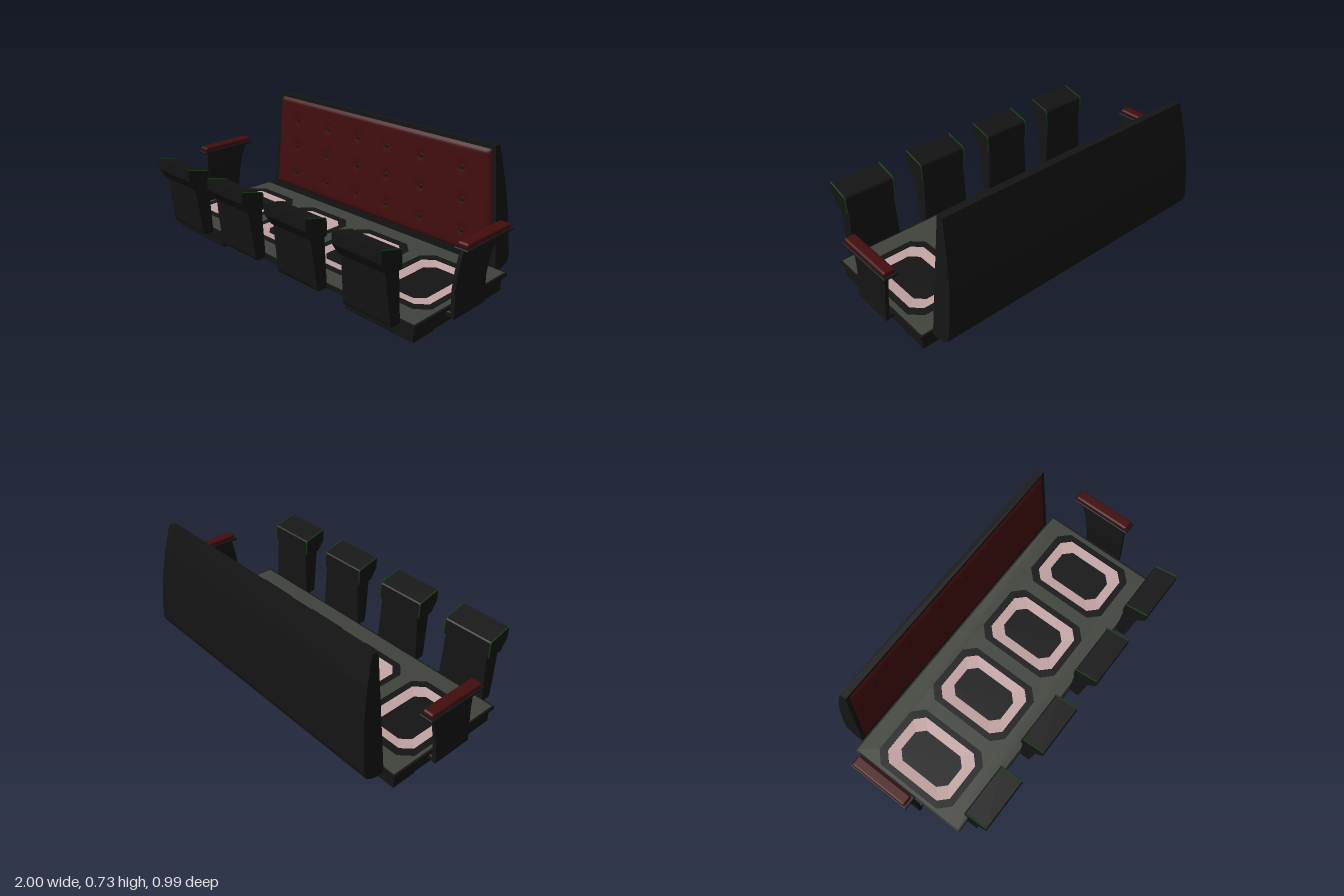
import * as THREE from 'three';
import { RoundedBoxGeometry } from 'three/addons/geometries/RoundedBoxGeometry.js';

const mat = (color, extra = {}) => new THREE.MeshStandardMaterial({ color, ...extra });

// Closed flat-shaded solid through equal-sized convex rings of [x, y, z] points
function loft(rings, caps = true) {
  const tris = [], n = rings[0].length;
  for (let r = 0; r < rings.length - 1; r++) {
    for (let i = 0; i < n; i++) {
      const j = (i + 1) % n, a = rings[r][i], b = rings[r][j], c = rings[r + 1][j], d = rings[r + 1][i];
      tris.push([a, b, c], [a, c, d]);
    }
  }
  const last = rings[rings.length - 1];
  if (caps) {
    for (let i = 1; i < n - 1; i++) {
      tris.push([rings[0][0], rings[0][i + 1], rings[0][i]], [last[0], last[i], last[i + 1]]);
    }
  }
  // Signed volume tells whether the faces point inward
  let volume = 0;
  const v = tris.map(t => t.map(p => new THREE.Vector3(...p)));
  for (const [a, b, c] of v) volume += a.dot(b.clone().cross(c));
  if (caps && volume < 0) v.forEach(t => t.reverse());
  const geo = new THREE.BufferGeometry().setFromPoints(v.flat());
  geo.computeVertexNormals();
  return geo;
}

// Side profile [z, y] spread across x, with a half width that depends on y
const prism = (profile, half) =>
  loft([-1, 1].map(s => profile.map(([z, y]) => [s * half(y), y, z])));

// Chamfered rectangle, centred on the seat
const octagon = (w, zMin, zMax, c) => [
  [-w + c, zMin], [w - c, zMin], [w, zMin + c], [w, zMax - c],
  [w - c, zMax], [-w + c, zMax], [-w, zMax - c], [-w, zMin + c]];

export function createModel() {
  const group = new THREE.Group();
  const black = mat(0x141414), red = mat(0x430d0e), carpetGrey = mat(0x40433c);
  const pink = mat(0xc2a3a3, { side: THREE.DoubleSide }), green = mat(0x154015);
  const blackOpen = mat(0x141414, { side: THREE.DoubleSide });
  const add = (name, geo, material, parent = group) => {
    const m = new THREE.Mesh(geo, material);
    m.name = name;
    parent.add(m);
    return m;
  };
  const box = (name, x0, x1, y0, y1, z0, z1) => {
    const m = add(name, new THREE.BoxGeometry(x1 - x0, y1 - y0, z1 - z0), black);
    m.position.set((x0 + x1) / 2, (y0 + y1) / 2, (z0 + z1) / 2);
  };
  const seatX = [0, 1, 2, 3].map(i => -0.005 + (i - 1.5) * 0.461);
  const outer = octagon(0.193, -0.268, 0.243, 0.06);
  const rim = octagon(0.16, -0.228, 0.207, 0.05);
  const well = octagon(0.104, -0.175, 0.153, 0.045);

  // Deck layers with an opening for every seat
  const layer = (name, x, z0, z1, y0, y1, material) => {
    const s = new THREE.Shape([[-x, -z1], [x, -z1], [x, -z0], [-x, -z0]].map(p => new THREE.Vector2(...p)));
    for (const cx of seatX) {
      s.holes.push(new THREE.Path(outer.map(([px, pz]) => new THREE.Vector2(cx + px, -pz))));
    }
    const geo = new THREE.ExtrudeGeometry(s, { depth: y1 - y0, bevelEnabled: false });
    geo.rotateX(-Math.PI / 2).translate(0, y0, 0);
    add(name, geo, material);
  };
  layer('deck', 0.917, -0.374, 0.354, 0.08, 0.098, black);
  layer('carpet', 0.907, -0.364, 0.344, 0.098, 0.1, carpetGrey);
  box('underside', -0.912, 0.912, 0.074, 0.081, -0.37, 0.35);
  box('frontTab', -0.1, 0.1, 0.068, 0.085, 0.3, 0.358);

  // C-shaped feet at both ends
  for (const s of [-1, 1]) {
    const span = (a, b) => (s > 0 ? [a, b] : [-b, -a]);
    box('frontFoot', ...span(0.48, 0.9), 0, 0.076, 0.19, 0.338);
    box('backFoot', ...span(0.48, 0.9), 0, 0.076, -0.355, -0.21);
    box('endRail', ...span(0.8, 0.9), 0.008, 0.076, -0.21, 0.19);
  }

  // Recessed seats: black surround, pale cushion ring, dark centre
  const at = (ring, y) => ring.map(([x, z]) => [x, y, z]);
  for (const cx of seatX) {
    const seat = new THREE.Group();
    seat.name = 'seat';
    seat.position.x = cx;
    group.add(seat);
    add('seatSurround', loft([at(outer, 0.09), at(outer, 0.102), at(rim, 0.102), at(rim, 0.098)], false), blackOpen, seat);
    add('seatCushion', loft([at(rim, 0.099), at(well, 0.093)], false), pink, seat);
    add('seatCentre', loft([at(well, 0.081), at(well, 0.09)]), black, seat);
  }

  // Upright in front of each seat, with a sloping overhanging head
  const postProfile = [[0.354, 0.08], [0.41, 0.08], [0.418, 0.1], [0.45, 0.36], [0.45, 0.42], [0.36, 0.42]];
  const headProfile = [[0.357, 0.355], [0.45, 0.355], [0.493, 0.418], [0.493, 0.481], [0.366, 0.447], [0.36, 0.44]];
  const trimPath = [[0.491, 0.481], [0.366, 0.449], [0.359, 0.44], [0.357, 0.357]];
  for (const cx of seatX) {
    const upright = new THREE.Group();
    upright.name = 'frontUpright';
    upright.position.x = cx + 0.003;
    group.add(upright);
    add('post', prism(postProfile, y => 0.145 - 0.05 * (y - 0.08)), black, upright);
    add('head', prism(headProfile, () => 0.146), black, upright);
    for (const s of [-1, 1]) {
      const path = new THREE.CurvePath();
      const pts = trimPath.map(([z, y]) => new THREE.Vector3(s * 0.143, y, z));
      for (let i = 0; i < 3; i++) path.add(new THREE.LineCurve3(pts[i], pts[i + 1]));
      add('headTrim', new THREE.TubeGeometry(path, 24, 0.004, 5), green, upright);
    }
  }

  // Backrest shell, narrowing upward
  const half = y => 0.852 - (y - 0.08) * 0.103;
  add('backrest', prism([[-0.374, 0.08], [-0.42, 0.08], [-0.46, 0.092], [-0.485, 0.11], [-0.493, 0.14],
    [-0.492, 0.25], [-0.483, 0.4], [-0.453, 0.58], [-0.416, 0.73], [-0.379, 0.73]], half), black);

  // Tufted cushion: a grid pushed in around each button
  const buttons = [];
  for (const x of [-0.61, -0.35, -0.11, 0.105, 0.345, 0.605]) {
    for (const y of [0.24, 0.41, 0.58]) buttons.push([x * (1 + (0.58 - y) * 0.12), y]);
  }
  const cushion = new THREE.PlaneGeometry(2, 0.58, 120, 48);
  const pos = cushion.attributes.position;
  for (let i = 0; i < pos.count; i++) {
    const y = pos.getY(i) + 0.42, w = half(y) - 0.022, x = pos.getX(i) * w;
    const edge = Math.min(w - Math.abs(x), y - 0.13, 0.71 - y, 0.03) / 0.03;
    let z = -0.38 + 0.015 * Math.sqrt(Math.max(0, edge * (2 - edge)));
    for (const [bx, by] of buttons) z -= 0.007 * Math.exp(-((x - bx) ** 2 + (y - by) ** 2) / 0.0006);
    pos.setXYZ(i, x, y, z);
  }
  cushion.computeVertexNormals();
  add('backCushion', cushion, red);
  for (const [x, y] of buttons) {
    const b = add('button', new THREE.SphereGeometry(0.014, 12, 8), black);
    b.position.set(x, y, -0.372);
    b.scale.z = 0.3;
  }

  // Curved arm panels: [y, centre x, front z, back z]
  const armSections = [[0.045, 0.942, 0.112, -0.13], [0.1, 0.94, 0.112, -0.13], [0.19, 0.936, 0.109, -0.136],
    [0.26, 0.938, 0.103, -0.15], [0.32, 0.943, 0.096, -0.168], [0.36, 0.948, 0.09, -0.19], [0.4, 0.955, 0.083, -0.22]];
  for (const s of [-1, 1]) {
    const arm = new THREE.Group();
    arm.name = s > 0 ? 'leftArm' : 'rightArm';
    group.add(arm);
    add('armPanel', loft(armSections.map(([y, x, f, b]) =>
      [[s * (x - 0.01), y, f], [s * (x + 0.01), y, f], [s * (x + 0.01), y, b], [s * (x - 0.01), y, b]])), black, arm);
    const part = (name, w, h, d, x, y, z, r, m) =>
      add(name, new RoundedBoxGeometry(w, h, d, 3, r), m, arm).position.set(s * x, y, z);
    part('armBracket', 0.08, 0.03, 0.24, 0.912, 0.06, -0.01, 0.006, black);
    part('armPlate', 0.076, 0.012, 0.364, 0.962, 0.402, -0.068, 0.005, black);
    part('armPad', 0.062, 0.028, 0.342, 0.962, 0.42, -0.069, 0.012, red);
  }
  return group;
}
